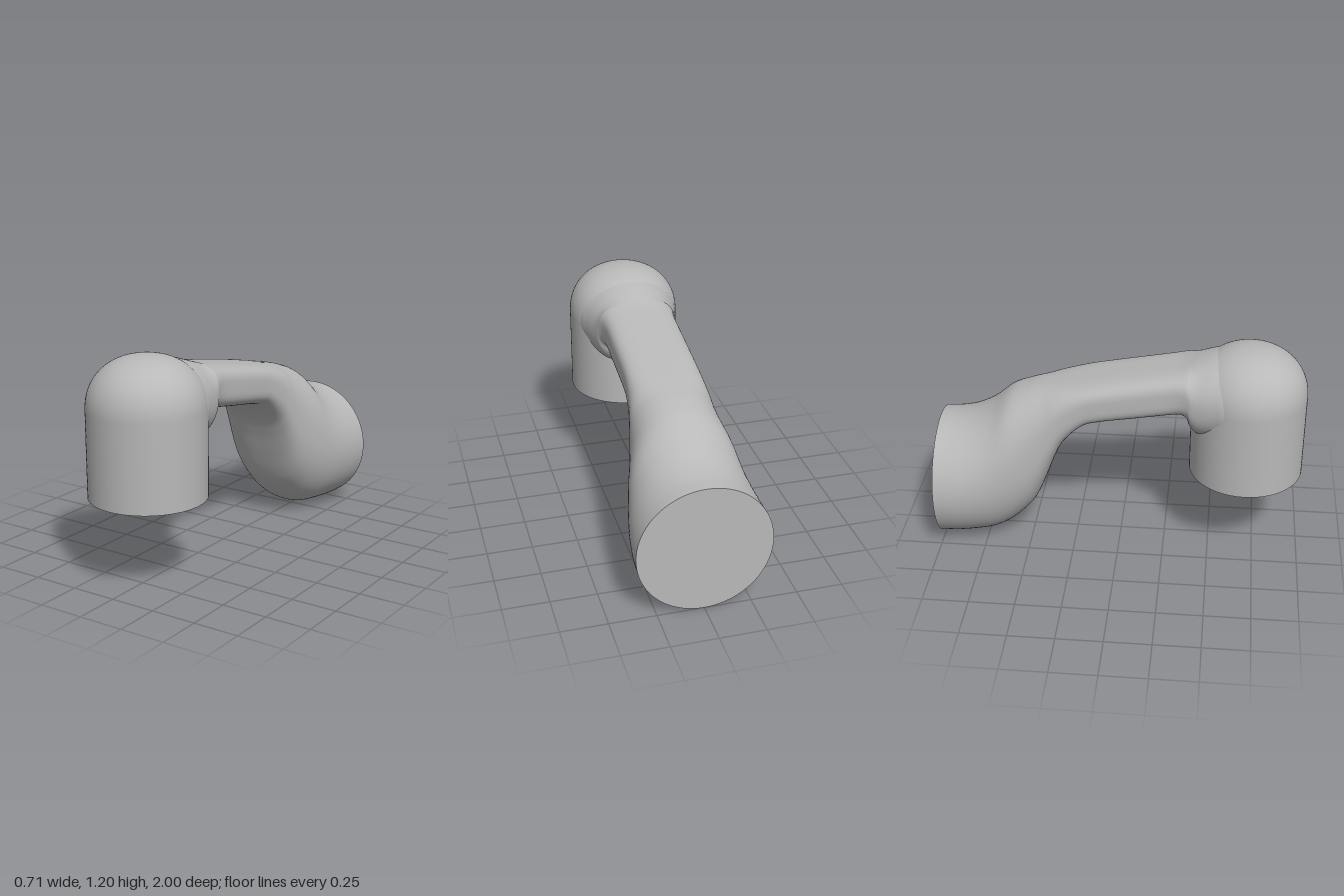
import * as THREE from 'three';

// Arm and socket stations: z, top y, bottom y, half width, squareness (2 = ellipse)
const STATIONS = [
  [-1.0, 0.716, 0.002, 0.357, 2],
  [-0.9, 0.725, 0.006, 0.352, 2],
  [-0.8, 0.755, 0.015, 0.34, 2],
  [-0.7, 0.812, 0.035, 0.32, 2.05],
  [-0.6, 0.893, 0.095, 0.294, 2.2],
  [-0.5, 0.931, 0.2, 0.262, 2.4],
  [-0.45, 0.945, 0.285, 0.248, 2.5],
  [-0.4, 0.956, 0.41, 0.235, 2.6],
  [-0.35, 0.967, 0.545, 0.224, 2.8],
  [-0.3, 0.978, 0.645, 0.214, 3],
  [-0.2, 0.999, 0.75, 0.203, 3.4],
  [-0.1, 1.019, 0.785, 0.2, 3.6],
  [0.1, 1.057, 0.819, 0.2, 3.6],
  [0.25, 1.085, 0.845, 0.2, 3.6],
  [0.32, 1.1, 0.853, 0.207, 3.3],
  [0.36, 1.112, 0.83, 0.218, 2.9],
  [0.38, 1.119, 0.77, 0.226, 2.6],
  [0.42, 1.134, 0.72, 0.238, 2.3],
  [0.5, 1.16, 0.7, 0.262, 2.1],
  [0.57, 1.172, 0.7, 0.28, 2],
  [0.65, 1.17, 0.72, 0.25, 2],
];

// Smooth skin through superelliptical cross-sections
function loft(stations, rows, sides) {
  const profile = new THREE.CatmullRomCurve3(
    stations.map(s => new THREE.Vector3(s[0], s[1], s[2])), false, 'catmullrom');
  const section = new THREE.CatmullRomCurve3(
    stations.map(s => new THREE.Vector3(s[3], s[4], 0)), false, 'catmullrom');
  const positions = [], index = [];
  const power = (v, n) => Math.sign(v) * Math.pow(Math.abs(v), 2 / n);
  for (let i = 0; i <= rows; i++) {
    const { x: z, y: top, z: bottom } = profile.getPoint(i / rows);
    const { x: half, y: n } = section.getPoint(i / rows);
    for (let j = 0; j < sides; j++) {
      const a = (j / sides) * Math.PI * 2;
      positions.push(
        half * power(Math.cos(a), n),
        (top + bottom) / 2 + ((top - bottom) / 2) * power(Math.sin(a), n),
        z);
      if (i < rows) {
        const k = (j + 1) % sides;
        const p = i * sides + j, q = i * sides + k;
        index.push(p, q, p + sides, q, q + sides, p + sides);
      }
    }
  }
  const geometry = new THREE.BufferGeometry();
  geometry.setAttribute('position', new THREE.Float32BufferAttribute(positions, 3));
  geometry.setIndex(index);
  geometry.computeVertexNormals();
  return geometry;
}

export function createModel() {
  const group = new THREE.Group();
  const grey = new THREE.MeshStandardMaterial({ color: 0xb8b8b8 });
  grey.name = 'plain grey';

  const add = (name, geometry) => {
    const mesh = new THREE.Mesh(geometry, grey);
    mesh.name = name;
    group.add(mesh);
    return mesh;
  };

  // Arm flowing back and down into the round socket
  add('armAndSocket', loft(STATIONS, 120, 80));

  // Flat round end of the socket, facing back
  const socketEnd = add('socketEnd', new THREE.CircleGeometry(0.357, 80));
  socketEnd.position.set(0, 0.359, -1);
  socketEnd.rotation.y = Math.PI;

  // Upright post with a slightly flattened dome
  const radius = 0.31, base = 0.465, shoulder = 0.925, domeHeight = 0.28;
  const outline = [new THREE.Vector2(radius, base)];
  for (let i = 0; i <= 24; i++) {
    const a = (i / 24) * Math.PI / 2;
    outline.push(new THREE.Vector2(
      i === 24 ? 0 : radius * Math.pow(Math.cos(a), 0.92),
      shoulder + domeHeight * Math.pow(Math.sin(a), 0.92)));
  }
  add('post', new THREE.LatheGeometry(outline, 80)).position.z = 0.69;

  // Flat underside of the post
  const postEnd = add('postEnd', new THREE.CircleGeometry(radius, 80));
  postEnd.position.set(0, base, 0.69);
  postEnd.rotation.x = Math.PI / 2;

  return group;
}
